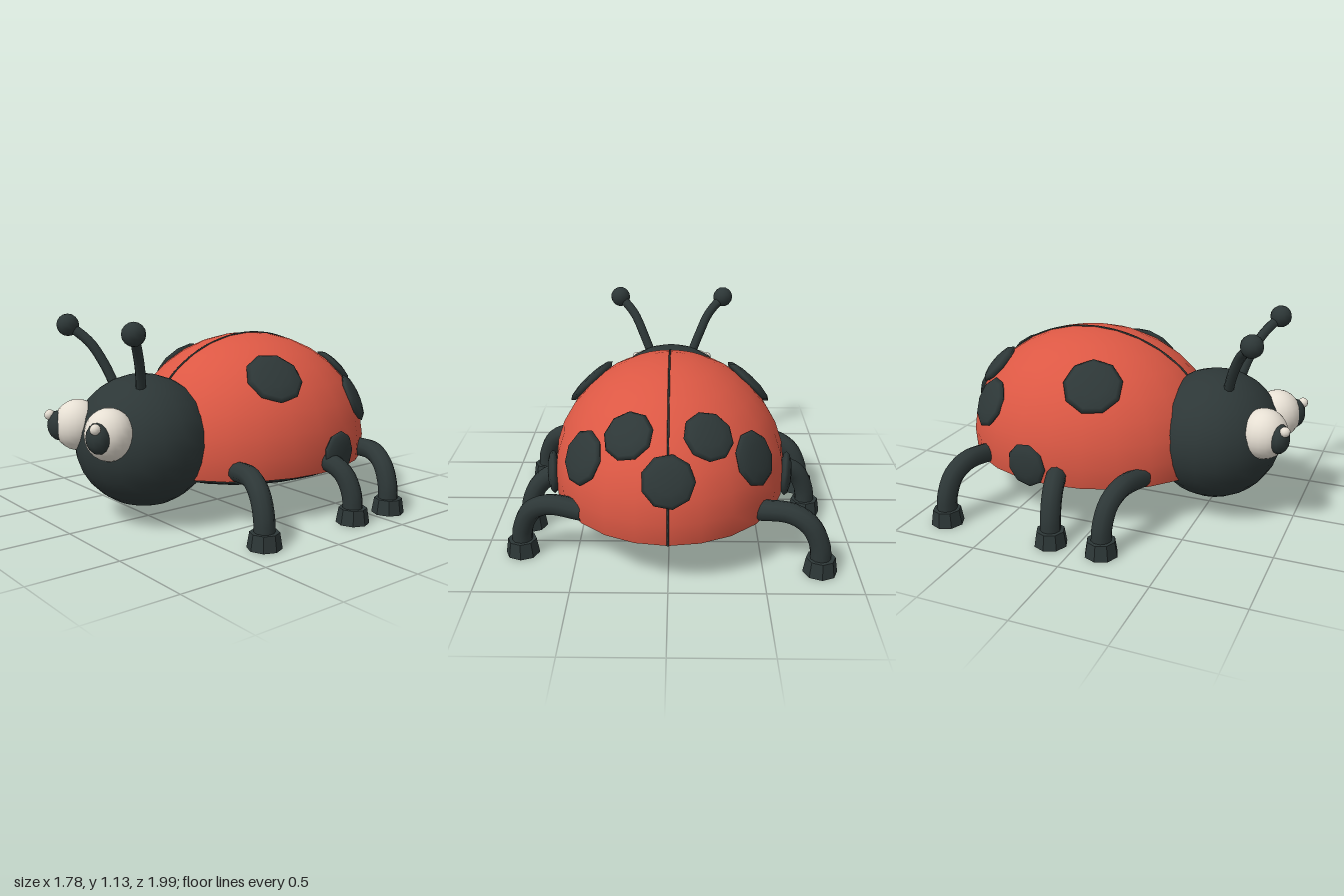
import * as THREE from 'three';

const V = (x, y, z) => new THREE.Vector3(x, y, z);

export function createModel() {
  const model = new THREE.Group();
  const mat = (name, color) => {
    const m = new THREE.MeshStandardMaterial({ color });
    m.name = name;
    return m;
  };
  const red = mat('shell red', 0xdc5844);
  const dark = mat('charcoal', 0x2d3737);
  const white = mat('eye white', 0xe6dfd3);

  const add = (name, geo, material, pos = V(0, 0, 0), parent = model) => {
    const mesh = new THREE.Mesh(geo, material);
    mesh.name = name;
    mesh.position.copy(pos);
    parent.add(mesh);
    return mesh;
  };
  const ball = (rx, ry, rz, w = 16, h = 10) =>
    new THREE.SphereGeometry(1, w, h).scale(rx, ry, rz);

  // Wing shell: an ellipsoid cut just below its equator, closed underneath
  const C = V(0, 0.36, -0.23);
  const R = V(0.65, 0.635, 0.75);
  const cut = 1.73;
  add('shell', new THREE.SphereGeometry(1, 24, 9, 0, Math.PI * 2, 0, cut).scale(R.x, R.y, R.z), red, C);
  const rim = new THREE.CircleGeometry(Math.sin(cut), 24).rotateX(Math.PI / 2).scale(R.x, 1, R.z);
  add('shellUnderside', rim, red, V(0, C.y + R.y * Math.cos(cut), C.z));
  add('belly', ball(0.6, 0.115, 0.7, 24, 10), dark, V(0, 0.265, C.z));

  // Seam between the wing cases
  const seam = [];
  for (let i = 0; i <= 18; i++) {
    const a = -0.95 + (i / 18) * (cut + 0.95);
    seam.push(V(0, C.y + R.y * Math.cos(a), C.z - R.z * Math.sin(a)));
  }
  add('seam', new THREE.TubeGeometry(new THREE.CatmullRomCurve3(seam), 40, 0.006, 5), dark);

  // Spots: shallow lenses aligned to the shell's surface
  const spot = (x, y, z, r) => {
    const p = V(x, y, z);
    const n = p.clone().sub(C).divide(R).divide(R).normalize();
    add('spot', ball(r, 0.035, r, 9, 6), dark, p).quaternion.setFromUnitVectors(V(0, 1, 0), n);
  };
  spot(0, 0.595, -0.93, 0.137);
  for (const s of [1, -1]) {
    spot(s * 0.45, 0.79, -0.04, 0.165);
    spot(s * 0.65, 0.36, -0.355, 0.125);
    spot(s * 0.44, 0.61, -0.69, 0.148);
    spot(s * 0.2, 0.765, -0.765, 0.135);
  }

  // Head
  add('head', ball(0.4, 0.367, 0.375, 20, 14), dark, V(0, 0.447, 0.525));

  for (const s of [1, -1]) {
    // Eyes
    const eye = new THREE.Group();
    eye.name = s > 0 ? 'leftEye' : 'rightEye';
    model.add(eye);
    add('eyeball', ball(0.134, 0.14, 0.13, 20, 14), white, V(s * 0.163, 0.545, 0.84), eye);
    add('pupil', ball(0.08, 0.082, 0.058, 12, 8), dark, V(s * 0.207, 0.545, 0.932), eye);
    add('highlight', ball(0.029, 0.029, 0.029, 10, 8), white, V(s * 0.243, 0.602, 0.967), eye);

    // Antennae
    const path = new THREE.CatmullRomCurve3([
      V(s * 0.13, 0.74, 0.62), V(s * 0.18, 0.86, 0.655),
      V(s * 0.24, 0.98, 0.71), V(s * 0.335, 1.075, 0.79),
    ]);
    add('antenna', new THREE.TubeGeometry(path, 12, 0.028, 8), dark);
    add('antennaTip', ball(0.062, 0.062, 0.062, 12, 8), dark, V(s * 0.335, 1.073, 0.79));
  }

  // Legs: three on one side, the other three turned half a circle about the body
  const footGeo = new THREE.CylinderGeometry(0.078, 0.092, 0.085, 8).toNonIndexed();
  footGeo.computeVertexNormals();
  for (const side of [0, 1]) {
    const legs = new THREE.Group();
    legs.name = side ? 'rightLegs' : 'leftLegs';
    legs.position.z = C.z;
    legs.rotation.y = side * Math.PI;
    model.add(legs);
    for (const [foot, hip] of [[0.56, 0.46], [-0.09, -0.01], [-0.385, -0.48]]) {
      const at = (x, y, t) => V(x, y, foot + (hip - foot) * t);
      const path = new THREE.CatmullRomCurve3([
        at(0.8, 0.05, 0), at(0.79, 0.16, 0.03), at(0.738, 0.265, 0.18),
        at(0.64, 0.32, 0.48), at(0.45, 0.312, 1),
      ]);
      add('leg', new THREE.TubeGeometry(path, 16, 0.056, 10), dark, V(0, 0, 0), legs);
      add('foot', footGeo, dark, V(0.8, 0.0425, foot), legs);
    }
  }
  return model;
}
